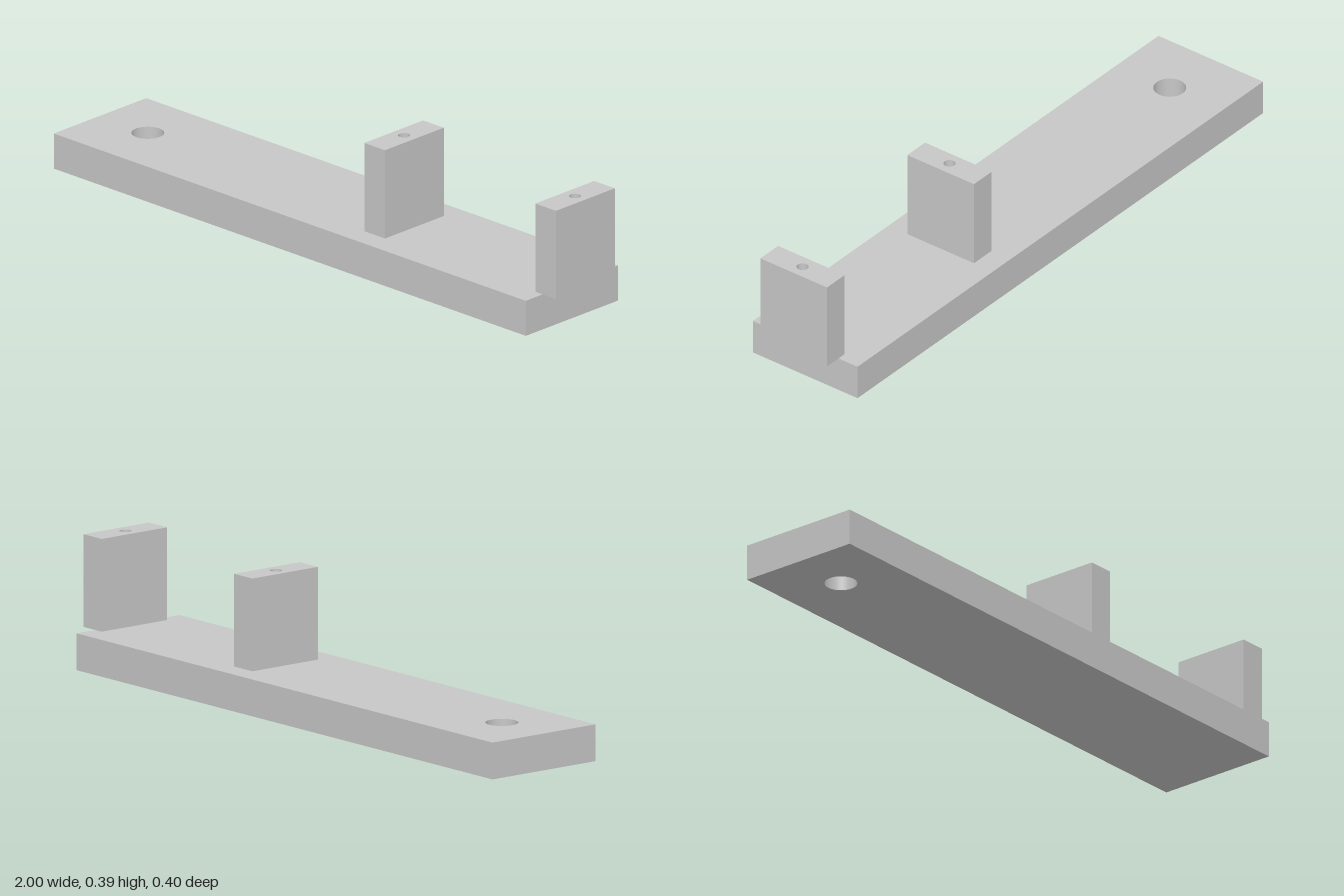
import * as THREE from 'three';

// Upright block with a round vertical hole; x0..x1 by z0..z1, from y0 up by height
function drilledBlock(x0, x1, z0, z1, y0, height, holeX, holeZ, radius) {
  const shape = new THREE.Shape();
  shape.moveTo(x0, -z1).lineTo(x1, -z1).lineTo(x1, -z0).lineTo(x0, -z0).closePath();
  const hole = new THREE.Path();
  hole.absarc(holeX, -holeZ, radius, 0, Math.PI * 2, true);
  shape.holes.push(hole);
  const geometry = new THREE.ExtrudeGeometry(shape, { depth: height, bevelEnabled: false, curveSegments: 40 });
  return geometry.rotateX(-Math.PI / 2).translate(0, y0, 0);
}

export function createModel() {
  const group = new THREE.Group();
  const grey = new THREE.MeshStandardMaterial({ color: 0xc7c7c7 });
  grey.name = 'lightGrey';
  const add = (parent, name, geometry) => {
    const mesh = new THREE.Mesh(geometry, grey);
    mesh.name = name;
    parent.add(mesh);
  };

  const baseTop = 0.112, postHeight = 0.282, holeRadius = 0.018;

  // Long base plate with a through hole near one end
  add(group, 'basePlate', drilledBlock(-1, 0.945, -0.198, 0.198, 0, baseTop, -0.803, 0, 0.049));

  // Two posts with blind screw holes; the end post overhangs the plate
  for (const [name, x] of [['middlePost', 0.253], ['endPost', 0.9575]]) {
    const post = new THREE.Group();
    post.name = name;
    add(post, name + 'Body', drilledBlock(x - 0.0425, x + 0.0425, -0.126, 0.126, baseTop, postHeight, x, 0, holeRadius));
    // Plug closing the lower part of the hole
    const plugHeight = 0.14;
    add(post, name + 'HoleFloor', new THREE.CylinderGeometry(holeRadius, holeRadius, plugHeight, 80)
      .translate(x, baseTop + plugHeight / 2, 0));
    group.add(post);
  }
  return group;
}
